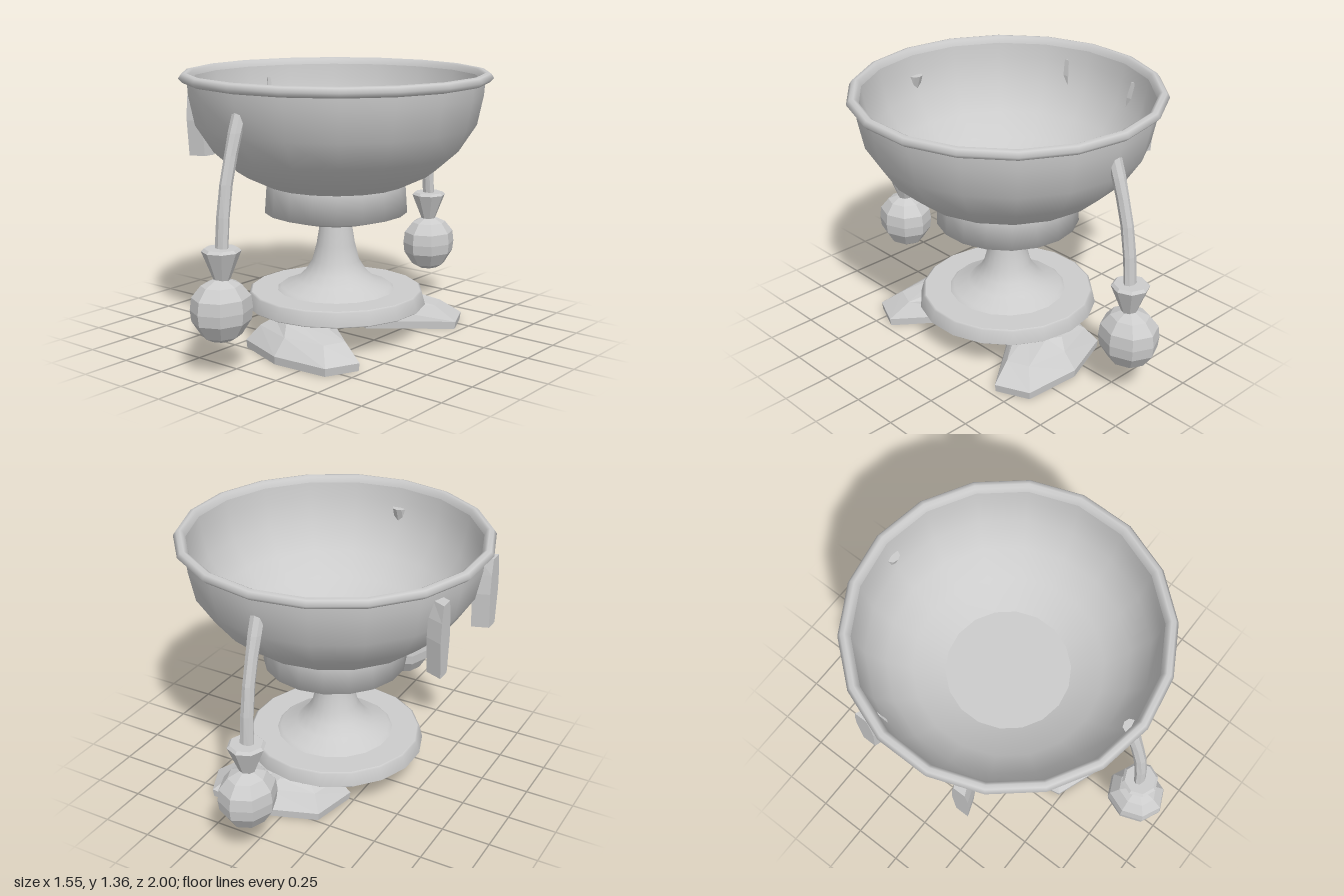
import * as THREE from 'three';

const smooth = new THREE.MeshStandardMaterial({ color: 0xcccccc, side: THREE.DoubleSide });
const faceted = new THREE.MeshStandardMaterial({ color: 0xcccccc, side: THREE.DoubleSide, flatShading: true });

function mesh(name, geometry, material) {
  const m = new THREE.Mesh(geometry, material);
  m.name = name;
  return m;
}

// Turned part; profile is [radius, height], outside runs bottom to top
function turned(name, profile, sides = 18, material = smooth) {
  const points = profile.map(([r, y]) => new THREE.Vector2(r, y));
  return mesh(name, new THREE.LatheGeometry(points, sides), material);
}

// Solid through stacked rings of [x, y, z], each turning from +z towards +x
function loft(name, rings) {
  const n = rings[0].length, index = [];
  for (let j = 0; j < rings.length - 1; j++) {
    for (let i = 0; i < n; i++) {
      const a = j * n + i, b = j * n + (i + 1) % n;
      index.push(a, b, a + n, b, b + n, a + n);
    }
  }
  const top = (rings.length - 1) * n;
  for (let i = 1; i < n - 1; i++) {
    index.push(0, i + 1, i, top, top + i, top + i + 1);
  }
  const g = new THREE.BufferGeometry();
  g.setAttribute('position', new THREE.Float32BufferAttribute(rings.flat(2), 3));
  g.setIndex(index);
  g.computeVertexNormals();
  return mesh(name, g, faceted);
}

// Stacked [x, z] outlines on the +z side, or mirrored to -z
function sided(name, layers, side) {
  return loft(name, layers.map(({ y, outline }) => {
    const ring = outline.map(([x, z]) => [x, y, z * side]);
    return side > 0 ? ring.reverse() : ring;
  }));
}

function makeArm() {
  const arm = new THREE.Group();
  // Drooping limb: height, z, half width, half depth
  const stations = [
    [0.58, 0.837, 0.037, 0.025], [0.75, 0.822, 0.034, 0.028], [0.9, 0.797, 0.03, 0.032],
    [1.03, 0.762, 0.03, 0.033], [1.13, 0.732, 0.035, 0.033], [1.22, 0.7, 0.036, 0.032],
  ];
  arm.add(loft('limb', stations.map(([y, z, w, d]) =>
    Array.from({ length: 8 }, (_, i) => {
      const t = i * Math.PI / 4;
      return [Math.sin(t) * w, y, z + Math.cos(t) * d];
    }))));
  // Flared cuff
  const cuff = turned('cuff', [[0, 0.45], [0.038, 0.457], [0.093, 0.595], [0.08, 0.608], [0, 0.608]], 8, faceted);
  cuff.position.z = 0.837;
  // Rounded fist
  const fist = turned('hand', [[0, 0.17], [0.06, 0.173], [0.1, 0.195], [0.148, 0.265],
    [0.155, 0.32], [0.147, 0.38], [0.1, 0.435], [0.035, 0.463], [0, 0.463]], 8, faceted);
  fist.scale.x = 0.89;
  fist.position.z = 0.843;
  arm.add(cuff, fist);
  return arm;
}

export function createModel() {
  const model = new THREE.Group();
  model.name = 'footedBowl';

  // Bowl: outer wall, rim and inner wall
  model.add(turned('bowl', [
    [0.355, 0.789], [0.5, 0.859], [0.618, 0.963], [0.707, 1.1], [0.738, 1.25], [0.742, 1.312],
  ]));
  model.add(turned('rim', [
    [0.74, 1.306], [0.765, 1.312], [0.785, 1.333], [0.77, 1.355], [0.75, 1.36], [0.735, 1.352], [0.725, 1.325],
  ]));
  model.add(turned('bowlInside', [
    [0.725, 1.325], [0.715, 1.25], [0.683, 1.11], [0.595, 0.98], [0.475, 0.88], [0.315, 0.815],
  ]));
  model.add(turned('bowlFloor', [[0.315, 0.815], [0, 0.815]]));

  // Collar under the bowl
  model.add(turned('collar', [[0, 0.608], [0.235, 0.608], [0.366, 0.646], [0.356, 0.789]]));

  // Stem flaring into the foot plate
  model.add(turned('stem', [
    [0.305, 0.234], [0.285, 0.25], [0.203, 0.283], [0.155, 0.33], [0.122, 0.385], [0.1, 0.47], [0.08, 0.595], [0.078, 0.61],
  ]));
  model.add(turned('basePlateUnderside', [[0, 0.158], [0.455, 0.158]]));
  model.add(turned('basePlateEdge', [[0.455, 0.158], [0.464, 0.165], [0.447, 0.23], [0.437, 0.236]]));
  model.add(turned('basePlateTop', [[0.437, 0.236], [0.3, 0.236]]));

  // Arms at front and back
  for (const [name, turn] of [['frontArm', 0], ['backArm', Math.PI]]) {
    const arm = makeArm();
    arm.name = name;
    arm.rotation.y = turn;
    model.add(arm);
  }

  // Splayed shoes pointing to +x
  const sole = [[0.475, 0.41], [0.4, 0.575], [0.1, 0.594], [-0.18, 0.49], [-0.23, 0.25], [0.1, 0.123]];
  const shoe = [
    { y: 0, outline: sole.map(([x, z]) => [0.1 + (x - 0.1) * 0.985, 0.37 + (z - 0.37) * 0.985]) },
    { y: 0.04, outline: sole },
    { y: 0.115, outline: [[0.365, 0.38], [0.32, 0.49], [0.1, 0.52], [-0.13, 0.44], [-0.17, 0.27], [0.08, 0.14]] },
    { y: 0.157, outline: [[0.14, 0.31], [0.13, 0.42], [0.06, 0.46], [-0.07, 0.4], [-0.1, 0.28], [0.06, 0.17]] },
  ];

  // Tapered plates on the -x wall
  const plate = [[0.893, 0.035, -0.645], [1.08, 0.05, -0.645], [1.18, 0.045, -0.645], [1.263, 0.032, -0.662]]
    .map(([y, w, inner]) => ({
      y, outline: [[inner, 0.255 - w], [inner, 0.255 + w], [-0.728, 0.285 + w], [-0.728, 0.285 - w]],
    }));

  for (const side of [1, -1]) {
    const end = side > 0 ? 'Front' : 'Back';
    model.add(sided('shoe' + end, shoe, side));
    model.add(sided('wallPlate' + end, plate, side));
  }
  return model;
}
